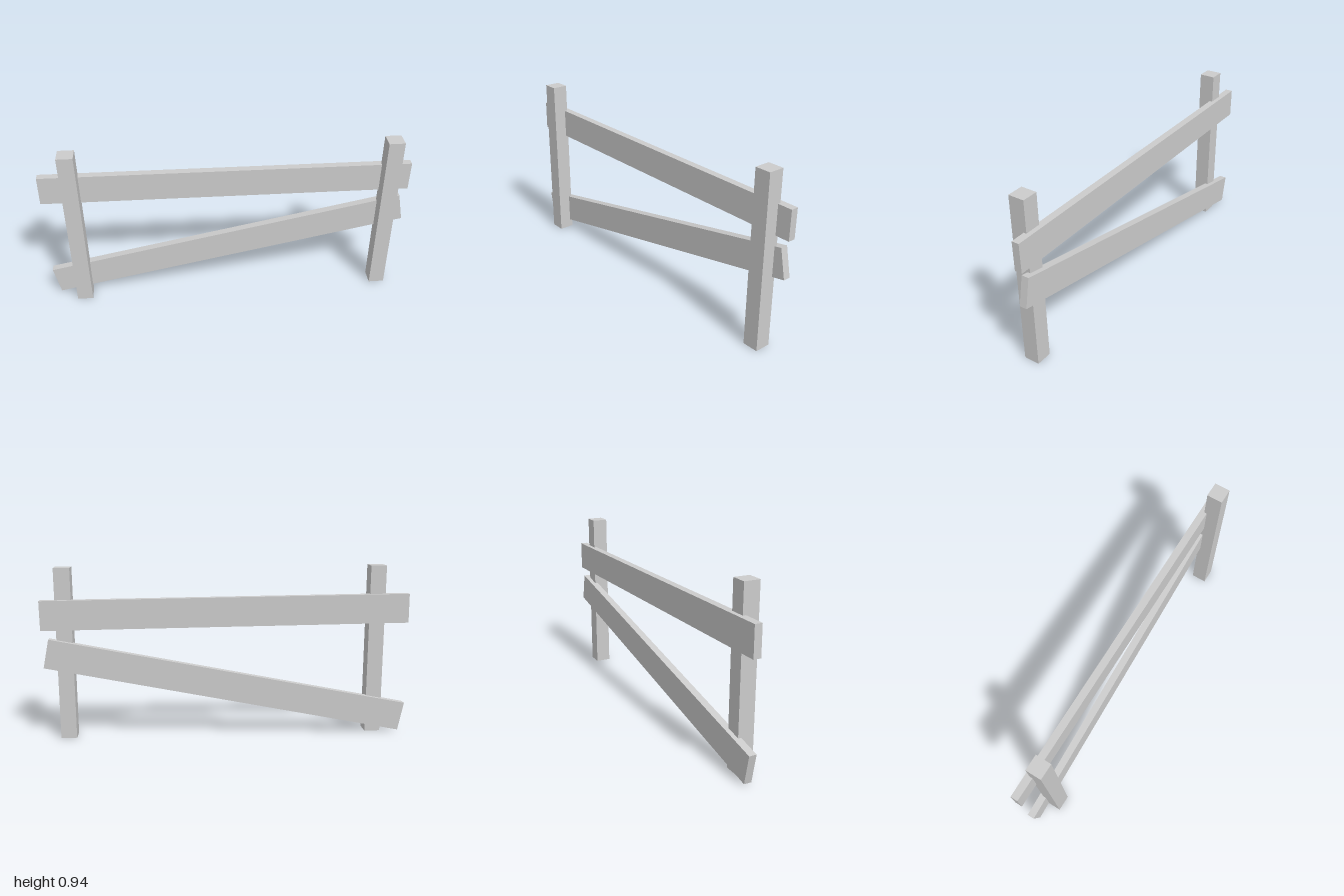
import * as THREE from 'three';

export function createModel() {
  const group = new THREE.Group();
  const material = new THREE.MeshStandardMaterial({ color: 0xcccccc, flatShading: true });

  const addBeam = (name, size, position, yaw = 0, tilt = 0) => {
    const mesh = new THREE.Mesh(new THREE.BoxGeometry(...size), material);
    mesh.name = name;
    mesh.position.set(...position);
    mesh.rotation.set(0, yaw, tilt); // tilt in the fence plane first, then yaw
    group.add(mesh);
  };

  // Upright square posts
  const postSize = [0.086, 0.94, 0.086];
  addBeam('rightPost', postSize, [-0.828, 0.47, 0.016]);
  addBeam('leftPost', postSize, [0.877, 0.47, 0.01]);

  // Planks fixed behind the posts: one nearly level, one fallen at an angle
  const plankSize = [1.998, 0.16, 0.04];
  addBeam('topRail', plankSize, [0, 0.698, -0.034], 0.004, -0.009);
  addBeam('slantedRail', plankSize, [-0.004, 0.286, -0.034], 0.004, 0.199);

  return group;
}
